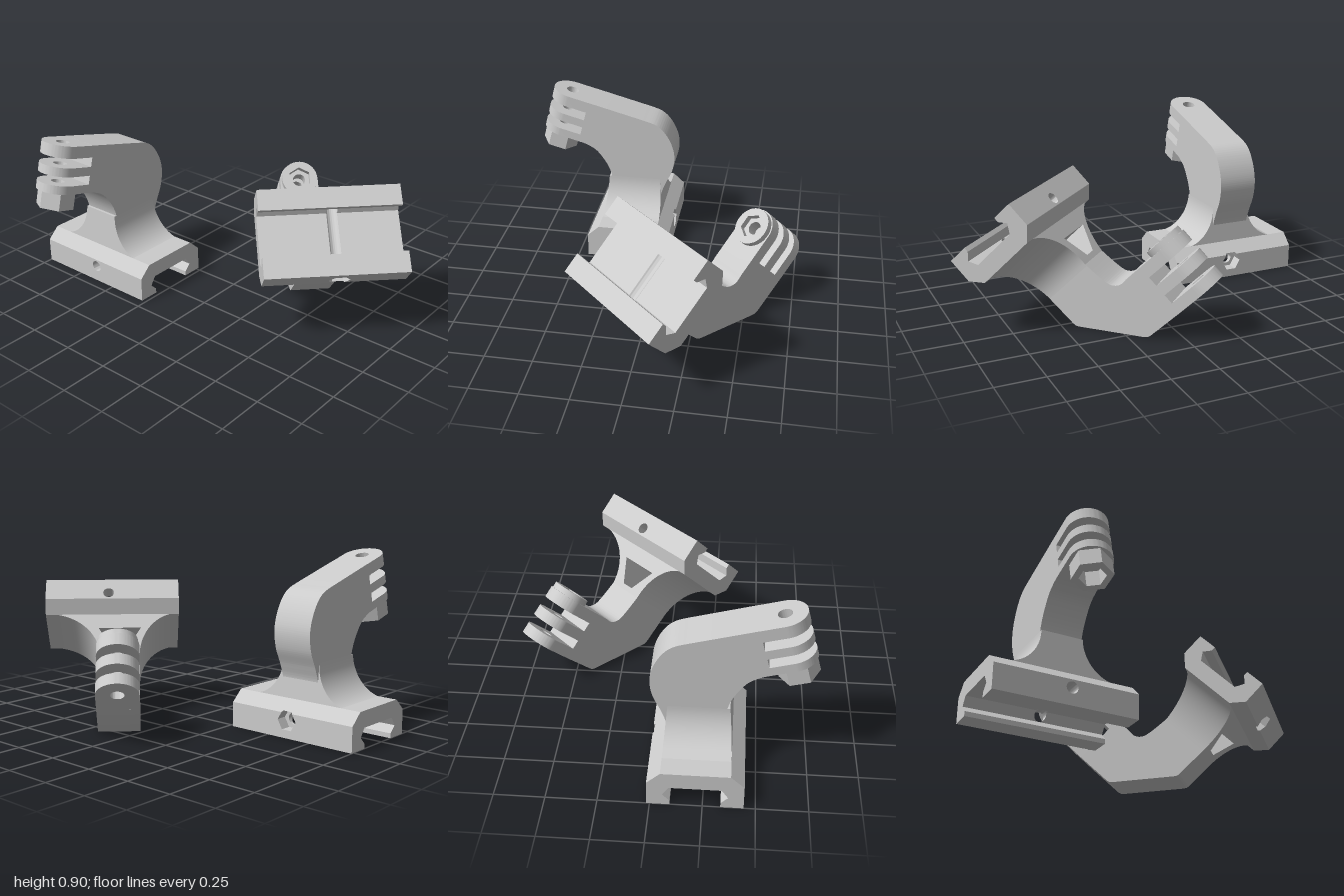
import * as THREE from 'three';
import { toCreasedNormals } from 'three/addons/utils/BufferGeometryUtils.js';

const material = new THREE.MeshStandardMaterial({ color: 0xcccccc });
const V2 = (p) => new THREE.Vector2(p[0], p[1]);
const ARM = 0.107; // half width of the arm

function mesh(geo, name) {
  const m = new THREE.Mesh(toCreasedNormals(geo, 0.5), material);
  m.name = name;
  return m;
}

const extrude = (shape, depth) =>
  new THREE.ExtrudeGeometry(shape, { depth, bevelEnabled: false, curveSegments: 24 });

// Side profile drawn as (z, y), extruded from x0 to x1
function extrudeX(shape, x0, x1) {
  return extrude(shape, x1 - x0).rotateY(-Math.PI / 2).translate(x1, 0, 0);
}

// Skin between equal (z, y) polygons set at stations along x
function loftX(stations, polygon) {
  const pos = [], index = [];
  let n = 0;
  stations.forEach((x, k) => {
    const poly = polygon(x);
    n = poly.length;
    poly.forEach(([z, y]) => pos.push(x, y, z));
    if (k === 0) return;
    for (let i = 0; i < n; i++) {
      const j = (i + 1) % n, a = (k - 1) * n, b = k * n;
      index.push(a + i, b + j, a + j, a + i, b + i, b + j);
    }
  });
  const geo = new THREE.BufferGeometry();
  geo.setAttribute('position', new THREE.Float32BufferAttribute(pos, 3));
  geo.setIndex(index);
  return geo;
}

// Rail clamp: open side at y = 0, with a cross bore and a hex pocket on -z
function railClamp() {
  const group = new THREE.Group();
  group.name = 'railClamp';
  const half = [[0.12, 0], [0.23, 0], [0.23, 0.13], [0.165, 0.19]];
  const inner = [[0.125, 0.105], [0.155, 0.06], [0.12, 0.025]];
  const flip = (pts) => pts.map(([z, y]) => [-z, y]).reverse();
  const profile = new THREE.Shape([...half, ...flip(half), ...flip(inner), ...inner].map(V2));
  const L = 0.364, bx = 0.02, R = 0.055, r = 0.03, by = 0.09;
  group.add(mesh(extrudeX(profile, -L, bx - R), 'clampEnd'));
  group.add(mesh(extrudeX(profile, bx + R, L), 'clampEnd'));

  // Bored middle section, split above and below the bore axis
  const stations = Array.from({ length: 45 }, (_, i) => bx - R + (2 * R * i) / 44);
  const round = (x) => Math.sqrt(Math.max(0, r * r - (x - bx) ** 2));
  const hex = (x) => Math.min(R * 0.866, Math.max(0, R - Math.abs(x - bx)) * 1.732);
  const jaw = (y) => 0.155 - 0.03 * THREE.MathUtils.clamp((y - 0.06) / 0.045, 0, 1);
  group.add(mesh(loftX(stations, (x) => {
    const y = by + round(x), h = by + hex(x), top = Math.max(0.105, y);
    const cz = -0.23 + Math.max(0, h - 0.13) * 1.083;
    return [[0.23, y], [0.23, 0.13], [0.165, 0.19], [-0.165, 0.19], [cz, Math.max(0.13, h)], [cz, h],
      [-0.17, h], [-0.17, y], [-jaw(y), y], [-0.125, top], [0.125, top], [jaw(y), y]];
  }), 'clampBridge'));
  group.add(mesh(loftX(stations, (x) => {
    const y = by - round(x);
    return [[0.12, 0], [0.23, 0], [0.23, y], [jaw(y), y], [0.155, 0.06], [0.12, 0.025]];
  }), 'boltJaw'));
  group.add(mesh(loftX(stations, (x) => {
    const y = by - round(x), h = by - hex(x);
    return [[-0.23, 0], [-0.12, 0], [-0.12, 0.025], [-0.155, 0.06], [-jaw(y), y],
      [-0.17, y], [-0.17, h], [-0.23, h]];
  }), 'nutJaw'));
  return group;
}

// Flared foot between clamp and arm, tapering slightly, with an optional window
function flare(c, left, right, top, window) {
  const y0 = 0.185, k = 0.45, s = new THREE.Shape();
  const h = top - y0, l = left - ARM, r = right - ARM;
  s.moveTo(c - left, y0);
  s.lineTo(c + right, y0);
  s.bezierCurveTo(c + right - r * (1 - k), y0, c + ARM, top - h * (1 - k), c + ARM, top);
  s.lineTo(c - ARM, top);
  s.bezierCurveTo(c - ARM, top - h * (1 - k), c - left + l * (1 - k), y0, c - left, y0);
  if (window) s.holes.push(new THREE.Path(window.map(([x, y]) => V2([c + x, y]))));
  const geo = extrude(s, 2).translate(0, 0, -1);
  const p = geo.attributes.position;
  for (let i = 0; i < p.count; i++) {
    p.setZ(i, p.getZ(i) * (0.165 - (p.getY(i) - 0.19) * 0.08));
  }
  geo.computeVertexNormals();
  return mesh(geo, 'flaredFoot');
}

// Rounded prongs stacked along local y, reaching out along local z
function prongStack(angle, base, axis, slabs, nut) {
  const group = new THREE.Group();
  group.name = 'prongs';
  group.rotation.x = -angle;
  const slab = (shape, q0, q1, name) =>
    group.add(mesh(extrude(shape, q1 - q0).rotateX(Math.PI / 2).translate(0, q1, 0), name));
  for (const [q0, q1] of slabs) {
    const s = new THREE.Shape();
    s.moveTo(-ARM, base);
    s.lineTo(ARM, base);
    s.lineTo(ARM, axis);
    s.absarc(0, axis, ARM, 0, Math.PI, false);
    s.holes.push(new THREE.Path().absarc(0, axis, 0.035, 0, Math.PI * 2, true));
    slab(s, q0, q1, 'prong');
  }
  // Nut holder with a hexagonal pocket
  const ring = (radius, n) => Array.from({ length: n }, (_, i) => {
    const a = ((i + 0.5) / n) * Math.PI * 2;
    return V2([radius * Math.cos(a), axis + radius * Math.sin(a)]);
  });
  const holder = new THREE.Shape(ring(0.1, nut.sides));
  holder.holes.push(new THREE.Path(ring(0.065, 6)));
  slab(holder, nut.from, nut.to, 'nutHolder');
  return group;
}

function armBody(runs) {
  const s = new THREE.Shape();
  s.moveTo(...runs[0][0]);
  runs.forEach((run, i) => {
    if (i) s.lineTo(...run[0]);
    if (run.length > 1) s.splineThru(run.slice(1).map(V2));
  });
  return mesh(extrudeX(s, -ARM, ARM), 'arm');
}

// Mount standing on its clamp
function uprightMount() {
  const g = new THREE.Group();
  g.name = 'uprightMount';
  const foot = new THREE.Group();
  foot.name = 'clampAndFoot';
  foot.add(railClamp(), flare(-0.006, 0.29, 0.29, 0.39));
  foot.position.set(0.006, 0, 0.215);
  g.add(foot);
  g.add(armBody([
    [[0.38, 0.185], [0.352, 0.26], [0.345, 0.36], [0.37, 0.45], [0.43, 0.54], [0.49, 0.58], [0.544, 0.598]],
    [[0.478, 0.843]],
    [[0.16, 0.757], [0.09, 0.733], [0.04, 0.69], [0, 0.62], [-0.018, 0.54], [-0.005, 0.45],
      [0.035, 0.36], [0.06, 0.28], [0.05, 0.185]],
  ]));
  g.add(prongStack(Math.PI / 12, 0.67, 0.797,
    [[0.437, 0.482], [0.53, 0.577], [0.627, 0.69]], { from: 0.347, to: 0.437, sides: 6 }));
  g.position.x = -0.6425;
  return g;
}

// Mount lying on its elbow, clamp tilted half way up
function elbowMount() {
  const g = new THREE.Group();
  g.name = 'elbowMount';
  const foot = new THREE.Group();
  foot.name = 'clampAndFoot';
  foot.add(railClamp(), flare(-0.04, 0.32, 0.4, 0.45,
    [[-0.115, 0.276], [-0.035, 0.41], [0.035, 0.41], [0.115, 0.276]]));
  const d = Math.SQRT1_2;
  foot.quaternion.setFromRotationMatrix(new THREE.Matrix4().makeBasis(
    new THREE.Vector3(-1, 0, 0), new THREE.Vector3(0, -d, d), new THREE.Vector3(0, d, d)));
  foot.position.set(-0.04, 0.5475, -0.4575);
  g.add(foot);
  g.add(armBody([
    [[-0.249, 0.134]], [[-0.115, 0.013], [-0.1, 0.003], [-0.08, 0]],
    [[0.265, 0], [0.283, 0.003], [0.298, 0.012]],
    [[0.449, 0.159]], [[0.244, 0.364]],
    [[0.17, 0.29], [0.145, 0.262], [0.115, 0.25], [0.08, 0.254], [0.03, 0.284], [-0.044, 0.339]],
  ]));
  g.add(prongStack(Math.PI / 4, 0.42, 0.566,
    [[-0.205, -0.145], [-0.093, -0.033], [0.02, 0.085]], { from: 0.08, to: 0.117, sides: 32 }));
  g.rotation.y = -Math.PI * 0.75;
  g.position.set(0.288, 0, -0.288);
  return g;
}

export function createModel() {
  const model = new THREE.Group();
  model.name = 'railMounts';
  model.add(uprightMount(), elbowMount());
  return model;
}
